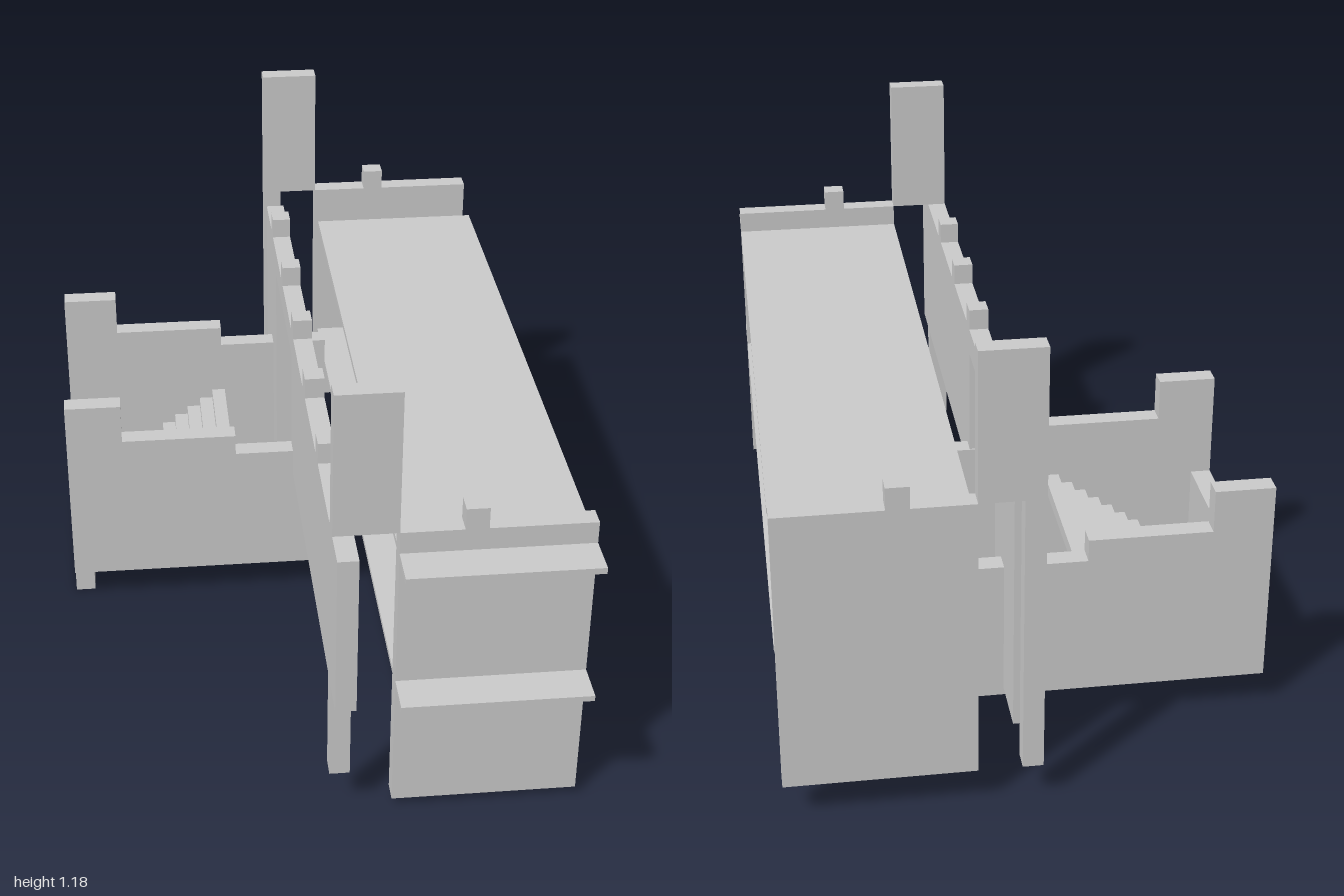
import * as THREE from 'three';

const mat = new THREE.MeshStandardMaterial({ color: 0xcccccc, flatShading: true });

// Box given by its minimum and maximum on each axis
function box(parent, name, [x0, x1], [y0, y1], [z0, z1]) {
  const m = new THREE.Mesh(new THREE.BoxGeometry(x1 - x0, y1 - y0, z1 - z0), mat);
  m.position.set((x0 + x1) / 2, (y0 + y1) / 2, (z0 + z1) / 2);
  m.name = name;
  parent.add(m);
  return m;
}

// Flat board cut from an outline in x and y
function board(parent, name, points, z, depth) {
  const shape = new THREE.Shape(points.map(([x, y]) => new THREE.Vector2(x, y)));
  const m = new THREE.Mesh(new THREE.ExtrudeGeometry(shape, { depth, bevelEnabled: false }), mat);
  m.position.z = z;
  m.name = name;
  parent.add(m);
  return m;
}

function group(parent, name) {
  const g = new THREE.Group();
  g.name = name;
  parent.add(g);
  return g;
}

// Bed end: panel with a merlon, and a tower standing on a slim post
function bedEnd(parent, name, z, bottom, postBottom) {
  const g = group(parent, name);
  const depth = [z, z + 0.05];
  board(g, 'endPanel', [
    [0.155, bottom], [0.615, bottom], [0.615, 0.815], [0.36, 0.815],
    [0.36, 0.87], [0.305, 0.87], [0.305, 0.815], [0.155, 0.815],
  ], z, 0.05);
  box(g, 'tower', [0, 0.155], [0.815, 1.185], depth);
  box(g, 'towerPost', [0, 0.05], [postBottom, 0.815], depth);
}

export function createModel() {
  const model = new THREE.Group();
  model.name = 'castleBunkBed';

  bedEnd(model, 'frontEnd', 0.85, 0.022, 0.115);
  bedEnd(model, 'backEnd', -1, 0.098, 0.098);

  // Bed bases and the long panel under the lower one
  box(model, 'lowerBase', [0.155, 0.615], [0.375, 0.39], [-0.85, 1]);
  box(model, 'upperBase', [0.155, 0.615], [0.742, 0.758], [-0.85, 1]);
  box(model, 'longPanel', [0.46, 0.515], [0, 0.375], [-0.85, 0.85]);

  // Battlement wall with its doorway
  const wall = group(model, 'battlementWall');
  const wx = [0, 0.05];
  box(wall, 'wallPanel', wx, [0.39, 0.815], [-0.075, 1]);
  box(wall, 'doorLintel', wx, [0.745, 0.815], [-0.54, -0.075]);
  box(wall, 'wallLeg', wx, [0.115, 0.815], [-0.85, -0.54]);
  for (let i = 0; i < 5; i++) {
    const z = 0.565 - i * 0.3075;
    box(wall, 'merlon', wx, [0.815, 0.87], [z - 0.027, z + 0.027]);
  }

  // Stair unit: stepped side walls, end board, floor and treads
  const stair = group(model, 'stair');
  for (const z of [-0.08, -0.695]) {
    board(stair, 'stairSide', [
      [-0.615, 0.095], [0.155, 0.095], [0.155, 0.463], [-0.157, 0.463],
      [-0.157, 0.52], [-0.465, 0.52], [-0.465, 0.63], [-0.615, 0.63],
    ], z, 0.052);
  }
  const sz = [-0.54, -0.08];
  box(stair, 'stairEnd', [-0.615, -0.562], [0, 0.35], sz);
  box(stair, 'stairFloor', [-0.155, 0.155], [0.08, 0.095], sz);
  const count = 11, run = 0.0375;
  for (let i = 0; i < count; i++) {
    const x = -0.155 - i * run;
    const top = 0.37 - i * 0.0265;
    box(stair, 'tread', [x - run, x], [top - 0.035, top], sz);
  }
  return model;
}
